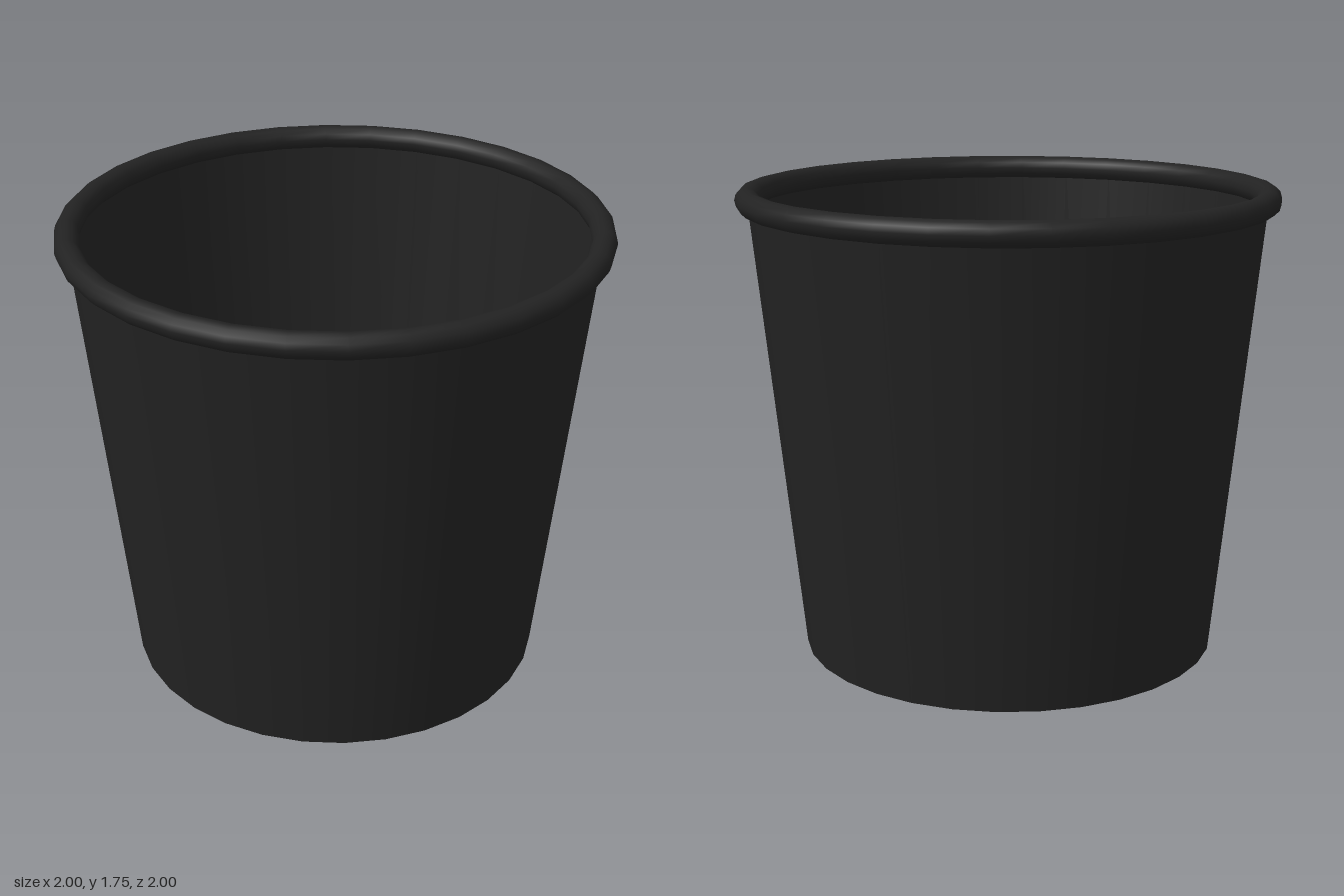
import * as THREE from 'three';

const SIDES = 32;
const BASE_RADIUS = 0.783;
const TOP_RADIUS = 0.955;
const HEIGHT = 1.705;
const BEAD = 0.045;

export function createModel() {
  const model = new THREE.Group();
  model.name = 'bucket';
  const plastic = new THREE.MeshStandardMaterial({ color: 0x222222, side: THREE.DoubleSide });

  const add = (name, geometry) => {
    const mesh = new THREE.Mesh(geometry, plastic);
    mesh.name = name;
    model.add(mesh);
    return mesh;
  };

  // Thin tapered wall, open at the top
  add('wall', new THREE.CylinderGeometry(TOP_RADIUS, BASE_RADIUS, HEIGHT, SIDES, 1, true))
    .position.y = HEIGHT / 2;

  // Flat floor
  add('floor', new THREE.CircleGeometry(BASE_RADIUS, SIDES).rotateX(Math.PI / 2));

  // Rolled rim around the mouth
  add('rim', new THREE.TorusGeometry(TOP_RADIUS, BEAD, 12, SIDES).rotateX(-Math.PI / 2))
    .position.y = HEIGHT;

  return model;
}
